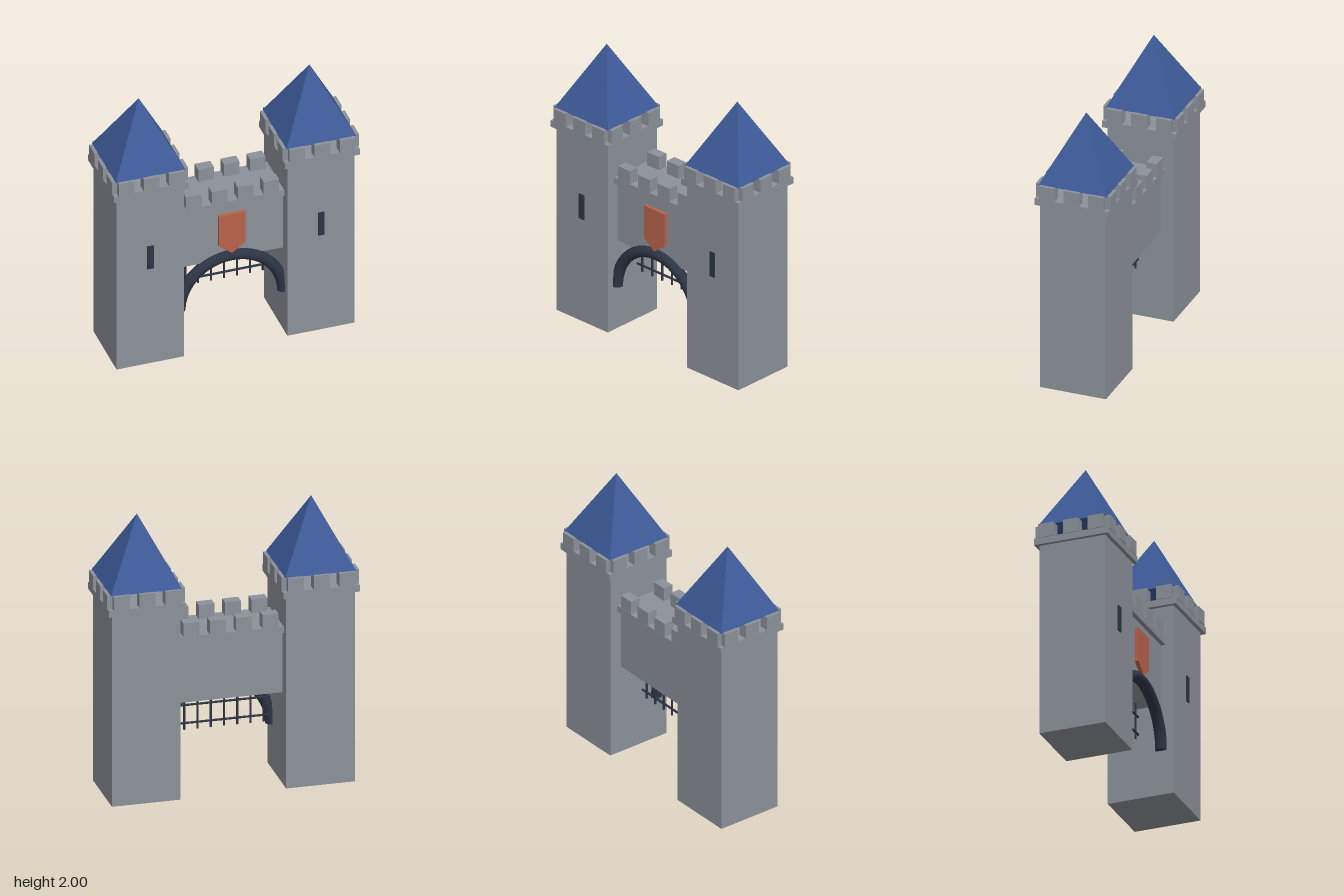
import * as THREE from 'three';

const flat = (name, color) => {
  const m = new THREE.MeshStandardMaterial({ color });
  m.name = name;
  return m;
};

export function createModel() {
  const stone = flat('stone', 0x8c9099);
  const roofBlue = flat('roofBlue', 0x3d5a98);
  const iron = flat('darkIron', 0x2d3444);
  const red = flat('shieldRed', 0xb8624a);
  roofBlue.flatShading = true;

  const model = new THREE.Group();
  model.name = 'castleGate';

  const add = (parent, name, geometry, material, x = 0, y = 0, z = 0) => {
    const mesh = new THREE.Mesh(geometry, material);
    mesh.name = name;
    mesh.position.set(x, y, z);
    parent.add(mesh);
    return mesh;
  };
  // Box given by its bottom and top heights
  const block = (parent, name, material, w, y0, y1, d, x = 0, z = 0) =>
    add(parent, name, new THREE.BoxGeometry(w, y1 - y0, d), material, x, (y0 + y1) / 2, z);

  // Square tower with open battlements under a pyramid roof
  function addTower(side) {
    const tower = new THREE.Group();
    tower.name = side > 0 ? 'leftTower' : 'rightTower';
    tower.position.x = side * 0.603;
    model.add(tower);
    block(tower, 'towerBody', stone, 0.476, 0, 1.38, 0.476);
    block(tower, 'towerLedge', stone, 0.53, 1.38, 1.428, 0.53);
    for (const s of [-1, 1]) {
      for (const t of [-0.178, 0, 0.178]) {
        block(tower, 'towerMerlon', stone, 0.11, 1.427, 1.527, 0.07, t, s * 0.234);
        block(tower, 'towerMerlon', stone, 0.07, 1.427, 1.527, 0.11, s * 0.234, t);
      }
    }
    const pyramid = new THREE.ConeGeometry(0.246 * Math.SQRT2, 0.475, 4);
    pyramid.rotateY(Math.PI / 4);
    add(tower, 'towerRoof', pyramid, roofBlue, 0, 1.7625, 0);
    block(tower, 'arrowSlit', iron, 0.045, 0.772, 0.955, 0.009, 0, 0.2425);
  }
  addTower(-1);
  addTower(1);

  // Wall bridging the towers
  const wall = new THREE.Group();
  wall.name = 'gateWall';
  model.add(wall);
  block(wall, 'wallBody', stone, 0.74, 0.66, 1.1, 0.292);
  block(wall, 'wallLedge', stone, 0.74, 1.1, 1.146, 0.356);
  for (const z of [-0.14, 0.14]) {
    for (let i = 0; i < 4; i++) {
      block(wall, 'wallMerlon', stone, 0.11, 1.145, 1.244, 0.074, (i - 1.5) * 0.1826, z);
    }
  }

  // Half-ring arch with closed ends
  const arch = new THREE.Group();
  arch.name = 'gateArch';
  arch.position.set(0, 0.324, 0.148);
  model.add(arch);
  add(arch, 'archRing', new THREE.TorusGeometry(0.364, 0.04, 12, 32, Math.PI), iron);
  for (const s of [-1, 1]) {
    const cap = new THREE.CircleGeometry(0.04, 12);
    cap.rotateX(Math.PI / 2);
    add(arch, 'archEnd', cap, iron, s * 0.364, 0, 0);
  }

  // Raised portcullis
  const grille = new THREE.Group();
  grille.name = 'portcullis';
  model.add(grille);
  for (let i = -3; i <= 3; i++) {
    add(grille, 'uprightBar', new THREE.CylinderGeometry(0.008, 0.008, 0.3, 8), iron, i * 0.0915, 0.552, 0);
  }
  for (const y of [0.448, 0.578]) {
    const bar = new THREE.CylinderGeometry(0.008, 0.008, 0.64, 8);
    bar.rotateZ(Math.PI / 2);
    add(grille, 'crossBar', bar, iron, 0, y, 0);
  }

  // Pointed shield above the arch
  const outline = new THREE.Shape();
  outline.moveTo(-0.094, 1.03);
  outline.lineTo(-0.094, 0.787);
  outline.lineTo(0, 0.716);
  outline.lineTo(0.094, 0.787);
  outline.lineTo(0.094, 1.03);
  outline.closePath();
  const shield = new THREE.ExtrudeGeometry(outline, { depth: 0.03, bevelEnabled: false });
  add(model, 'shield', shield, red, 0, 0, 0.142);

  return model;
}
